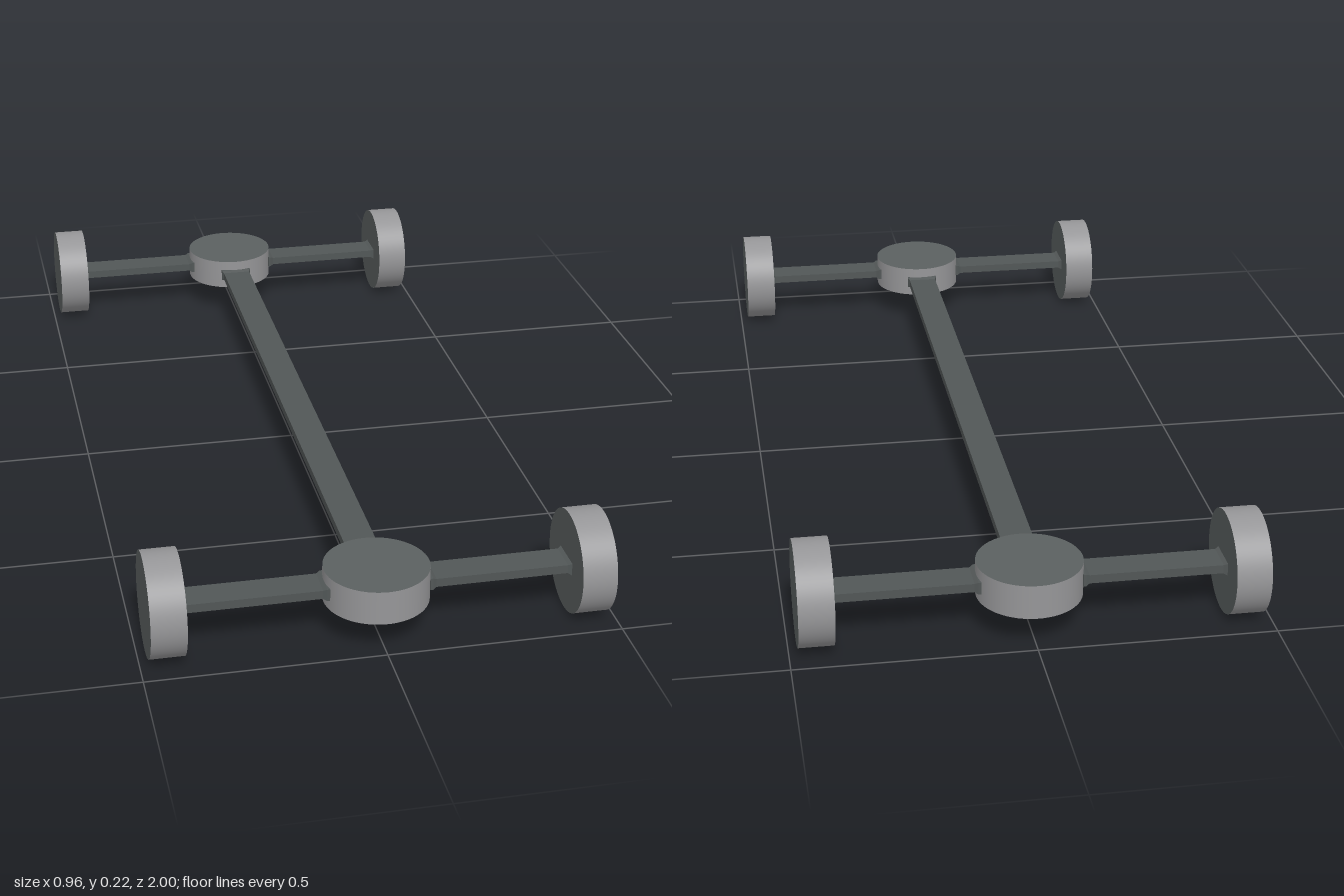
import * as THREE from 'three';

const rimGrey = new THREE.MeshStandardMaterial({ color: 0x969698 });
rimGrey.name = 'rimGrey';
const capGrey = new THREE.MeshStandardMaterial({ color: 0x5b6060 });
capGrey.name = 'capGrey';
const barGrey = new THREE.MeshStandardMaterial({ color: 0x525757 });
barGrey.name = 'barGrey';

const RADIUS = 0.111, AXLE_Z = 0.889, MID_Y = 0.111;

// Round disc with a light rim and darker end faces
function disc(name, thickness) {
  const geometry = new THREE.CylinderGeometry(RADIUS, RADIUS, thickness, 64);
  const mesh = new THREE.Mesh(geometry, [rimGrey, capGrey, capGrey]);
  mesh.name = name;
  return mesh;
}

// Flat bar along z whose last bit flares out slightly at both ends
function bar(name, length) {
  const flare = 0.008, sink = 0.006;
  const box = new THREE.BoxGeometry(0.07, 0.019, length + 2 * sink, 1, 1, 5);
  const rings = [length / 2 + sink, length / 2, length / 2 - flare];
  const p = box.attributes.position;
  const step = (length + 2 * sink) / 5;
  for (let i = 0; i < p.count; i++) {
    const z = p.getZ(i);
    const ring = Math.round((length / 2 + sink - Math.abs(z)) / step);
    p.setZ(i, Math.sign(z) * rings[ring]);
    if (ring < 2) {
      p.setX(i, p.getX(i) + Math.sign(p.getX(i)) * 0.004);
      p.setY(i, p.getY(i) + Math.sign(p.getY(i)) * 0.004);
    }
  }
  const geometry = box.toNonIndexed();
  geometry.computeVertexNormals();
  const mesh = new THREE.Mesh(geometry, barGrey);
  mesh.name = name;
  return mesh;
}

export function createModel() {
  const model = new THREE.Group();
  model.name = 'chassis';

  // Long central beam between the two hubs
  const beam = bar('centralBeam', 2 * (AXLE_Z - RADIUS));
  beam.position.y = MID_Y;
  model.add(beam);

  for (const [end, z] of [['front', AXLE_Z], ['rear', -AXLE_Z]]) {
    const axle = new THREE.Group();
    axle.name = end + 'Axle';
    axle.position.set(0, MID_Y, z);
    model.add(axle);

    // Flat hub
    axle.add(disc(end + 'Hub', 0.075));

    // Arm and wheel on each side
    for (const [side, s] of [['Left', 1], ['Right', -1]]) {
      const arm = bar(end + side + 'Arm', 0.297);
      arm.rotation.y = Math.PI / 2;
      arm.position.x = s * 0.2595;
      const wheel = disc(end + side + 'Wheel', 0.074);
      wheel.rotation.z = Math.PI / 2;
      wheel.position.x = s * 0.445;
      axle.add(arm, wheel);
    }
  }
  return model;
}
